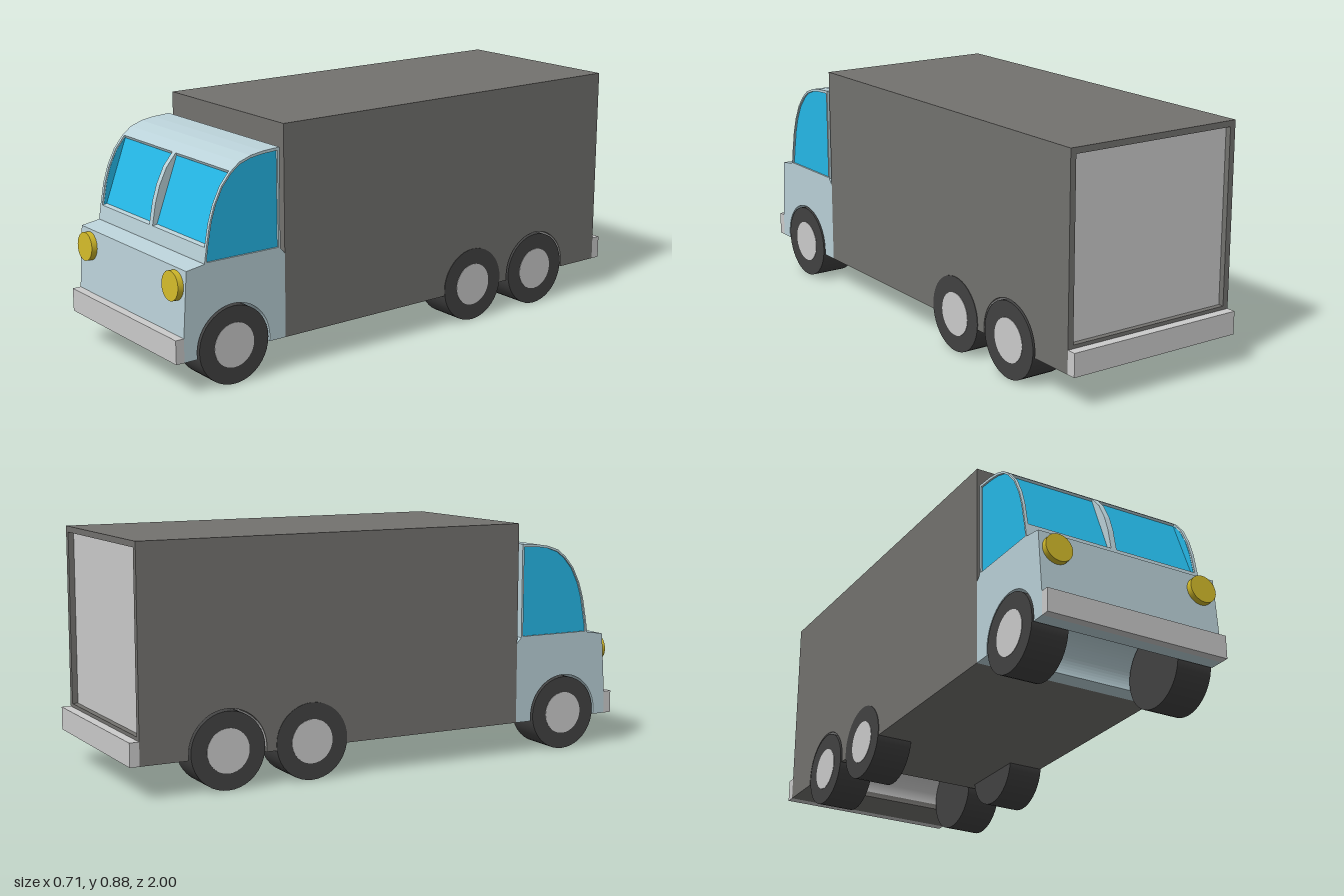
import * as THREE from 'three';

const mat = (color, side = THREE.FrontSide) => new THREE.MeshStandardMaterial({ color, side });
const W = 0.704; // full body width
const WHEEL_R = 0.14, ARCH_R = 0.148;

export function createModel() {
  const truck = new THREE.Group();
  truck.name = 'boxTruck';
  const cabBlue = mat(0xbad1d8), boxGrey = mat(0x73726f), glass = mat(0x25b9e8);
  const rubber = mat(0x424242), grey = mat(0xcccccc), yellow = mat(0xd1b92a);

  function add(name, geometry, material, x = 0, y = 0, z = 0) {
    const m = new THREE.Mesh(geometry, material);
    m.name = name;
    m.position.set(x, y, z);
    truck.add(m);
    return m;
  }
  const box = (w, h, d) => new THREE.BoxGeometry(w, h, d);
  const toShape = (pts) => new THREE.Shape(pts.map(([a, b]) => new THREE.Vector2(a, b)));

  // Extrudes a (z, y) side profile across the width, centred on x = 0
  function across(shape, width) {
    const g = new THREE.ExtrudeGeometry(shape, { depth: width, bevelEnabled: false, curveSegments: 24 });
    return g.rotateY(-Math.PI / 2).translate(width / 2, 0, 0);
  }

  // Side profile whose bottom edge is cut by a wheel arch; the rest runs counterclockwise
  function archedProfile(zBack, archZ, rest) {
    const s = new THREE.Shape();
    const a = Math.asin((WHEEL_R - 0.12) / ARCH_R);
    s.moveTo(zBack, 0.12);
    s.lineTo(archZ - ARCH_R * Math.cos(a), 0.12);
    s.absarc(archZ, WHEEL_R, ARCH_R, Math.PI + a, -a, true);
    rest.forEach(([z, y]) => s.lineTo(z, y));
    s.closePath();
    return s;
  }

  // Cargo box with a rear arch tunnel
  add('cargoBox', across(archedProfile(-0.94, -0.64,
    [[0.555, 0.12], [0.555, 0.878], [-0.94, 0.878]]), W), boxGrey);
  const liner = new THREE.CylinderGeometry(ARCH_R - 0.002, ARCH_R - 0.002, W - 0.004, 32, 1, true, 0, Math.PI);
  add('rearArchLiner', liner.rotateZ(Math.PI / 2), mat(0xcccccc, THREE.DoubleSide), 0, WHEEL_R, -0.64);

  // Rear door frame and recessed door
  const h = W / 2;
  const frame = toShape([[-h, 0.12], [h, 0.12], [h, 0.878], [-h, 0.878]]);
  frame.holes.push(toShape([[-0.33, 0.218], [-0.33, 0.856], [0.33, 0.856], [0.33, 0.218]]));
  add('rearDoorFrame', new THREE.ExtrudeGeometry(frame, { depth: 0.025, bevelEnabled: false }), boxGrey, 0, 0, -0.965);
  add('rearDoor', box(0.66, 0.638, 0.004), grey, 0, 0.537, -0.942);

  // Bumpers
  add('frontBumper', box(W, 0.085, 0.032), grey, 0, 0.1625, 0.984);
  add('rearBumper', box(W, 0.085, 0.035), grey, 0, 0.1625, -0.9825);

  // Lower cab with front arch tunnel
  add('lowerCab', across(archedProfile(0.555, 0.77,
    [[0.968, 0.12], [0.968, 0.205], [0.952, 0.435], [0.88, 0.446], [0.573, 0.446], [0.555, 0.425]]), W), cabBlue);

  // Upper cab: a core notched for the windshield, with side frames and a centre post
  const screen = [[0.872, 0.5], [0.857, 0.58], [0.838, 0.64], [0.808, 0.7], [0.77, 0.745]];
  const notch = [[0.852, 0.503], [0.765, 0.735]];
  const base = [[0.573, 0.435], [0.88, 0.435], [0.88, 0.45]];
  const roof = [[0.735, 0.772], [0.69, 0.788], [0.64, 0.796], [0.573, 0.8]];
  const full = [...base, ...screen, ...roof];
  const window = full.map(([z, y]) => [0.581 + (z - 0.573) * 0.945, 0.45 + (y - 0.435) * 0.93]);
  add('upperCab', across(toShape([...base, screen[0], ...notch, screen[4], ...roof]), 0.68), cabBlue);
  add('windshieldPost', across(toShape([...screen, notch[1], notch[0]]), 0.022), cabBlue);

  const [[z0, y0], [z1, y1]] = notch;
  const pane = box(0.329, Math.hypot(z1 - z0, y1 - y0), 0.004);
  for (const s of [1, -1]) {
    const side = s > 0 ? 'left' : 'right';
    const frameShape = toShape(full);
    frameShape.holes.push(toShape(window));
    add(side + 'WindowFrame', across(frameShape, 0.012), cabBlue, s * 0.346);
    add(side + 'SideWindow', across(toShape(window), 0.006), glass, s * 0.342);
    add(side + 'Windshield', pane, glass, s * 0.1755, (y0 + y1) / 2, (z0 + z1) / 2)
      .rotation.x = -Math.atan2(z0 - z1, y1 - y0);

    // Headlight, tilted with the nose
    const lamp = new THREE.CylinderGeometry(0.052, 0.052, 0.024, 32).rotateX(Math.PI / 2 - 0.07);
    add(side + 'Headlight', lamp, yellow, s * 0.288, 0.374, 0.966);

    // Wheels with hub discs
    [['front', 0.77], ['middle', -0.315], ['rear', -0.64]].forEach(([axle, z]) => {
      const tyre = new THREE.CylinderGeometry(WHEEL_R, WHEEL_R, 0.138, 40).rotateZ(Math.PI / 2);
      const hub = new THREE.CylinderGeometry(0.08, 0.08, 0.02, 32).rotateZ(Math.PI / 2);
      add(`${axle}${s > 0 ? 'Left' : 'Right'}Tyre`, tyre, rubber, s * 0.285, WHEEL_R, z);
      add(`${axle}${s > 0 ? 'Left' : 'Right'}Hub`, hub, grey, s * 0.3455, WHEEL_R, z);
    });
  }
  return truck;
}
